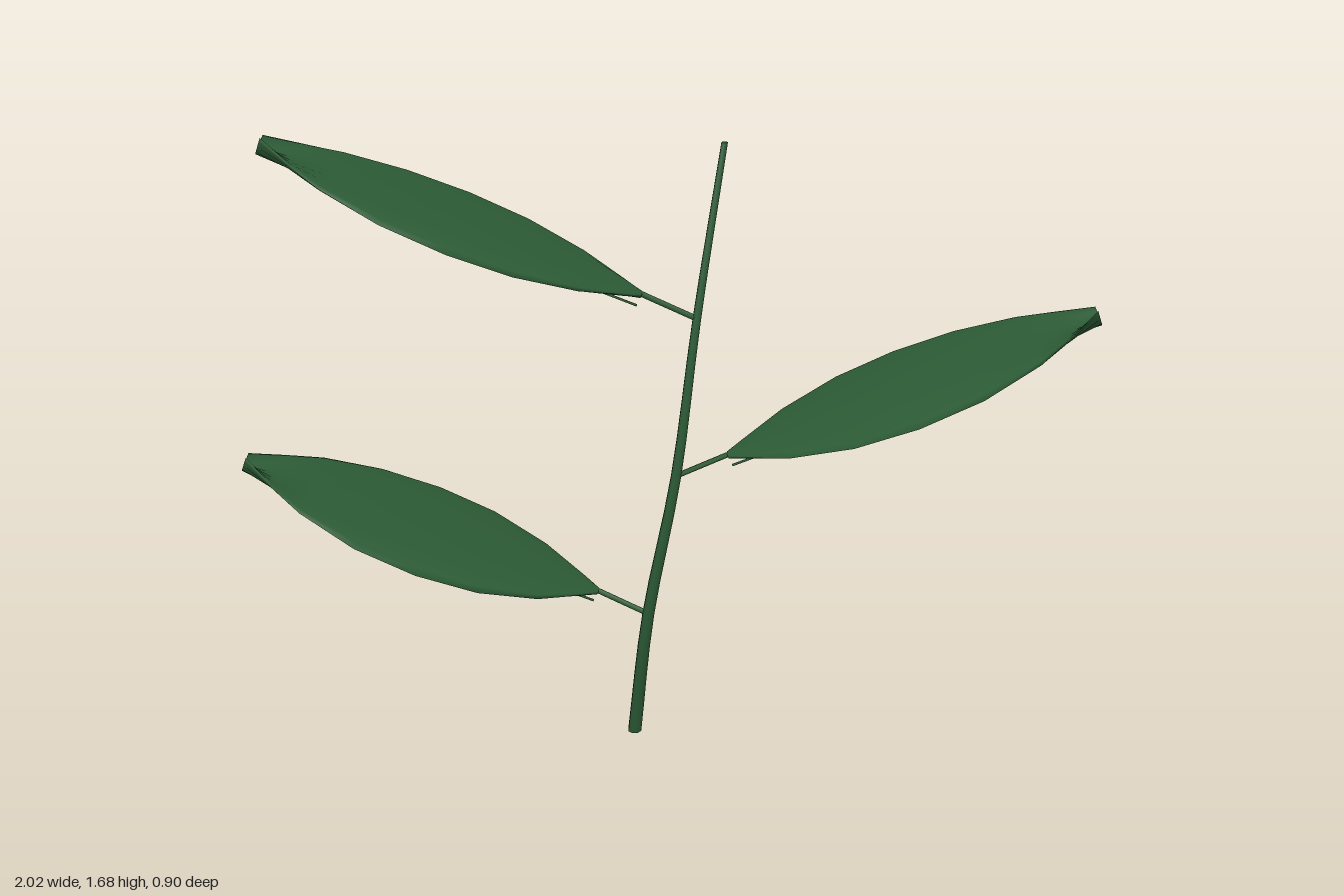
import * as THREE from 'three';

const green = new THREE.MeshStandardMaterial({ color: 0x2d5c36 });
green.name = 'leafGreen';

// Closed smooth skin through rings of points, with a fan over each end
function loft(rings) {
  const n = rings[0].length;
  const pos = [], index = [];
  rings.forEach(ring => ring.forEach(p => pos.push(p.x, p.y, p.z)));
  for (let i = 0; i < rings.length - 1; i++) {
    for (let j = 0; j < n; j++) {
      const k = (j + 1) % n;
      const a = i * n + j, b = i * n + k, c = a + n, d = b + n;
      index.push(a, c, d, a, d, b);
    }
  }
  const cap = (ring, flip) => {
    const mid = new THREE.Vector3();
    ring.forEach(p => mid.addScaledVector(p, 1 / n));
    const start = pos.length / 3;
    [mid, ...ring].forEach(p => pos.push(p.x, p.y, p.z));
    for (let j = 0; j < n; j++) {
      const a = start + 1 + j, b = start + 1 + (j + 1) % n;
      index.push(start, flip ? b : a, flip ? a : b);
    }
  };
  cap(rings[0], false);
  cap(rings[rings.length - 1], true);
  const g = new THREE.BufferGeometry();
  g.setAttribute('position', new THREE.Float32BufferAttribute(pos, 3));
  g.setIndex(index);
  g.computeVertexNormals();
  return g;
}

function part(geometry, name) {
  const mesh = new THREE.Mesh(geometry, green);
  mesh.name = name;
  return mesh;
}

function rod(a, b, radius) {
  return new THREE.TubeGeometry(new THREE.LineCurve3(a, b), 1, radius, 6);
}

// Bent stem, tapering upward
function stemGeometry() {
  const curve = new THREE.CatmullRomCurve3([
    [-0.113, 0, -0.09], [-0.04, 0.42, 0], [0.04, 0.83, 0.015],
    [0.083, 1.24, -0.01], [0.122, 1.655, -0.09]
  ].map(p => new THREE.Vector3(...p)));
  const rings = [];
  for (let i = 0; i <= 16; i++) {
    const t = i / 16, c = curve.getPoint(t), r = 0.019 - 0.011 * t;
    rings.push(Array.from({ length: 8 }, (_, j) => {
      const a = j / 8 * Math.PI * 2;
      return new THREE.Vector3(c.x + r * Math.cos(a), c.y, c.z + r * Math.sin(a));
    }));
  }
  return loft(rings);
}

// Leaf blade along +x: [distance, half width], domed on top, nearly flat below
const LENGTH = 0.958;
const outline = [
  [0, 0.015], [0.043, 0.058], [0.156, 0.16], [0.309, 0.238], [0.467, 0.263],
  [0.628, 0.243], [0.781, 0.174], [0.87, 0.1], [LENGTH, 0.016]
];
function bladeGeometry() {
  return loft(outline.map(([x, w]) => {
    const t = x / LENGTH;
    const top = 0.006 + 0.02 * Math.sin(Math.PI * t);
    return Array.from({ length: 16 }, (_, j) => {
      const a = j / 16 * Math.PI * 2, s = Math.sin(a), c = Math.cos(a);
      // the edges turn up toward the tip
      const lift = 0.035 * t ** 5 * c * c - 0.012 * t ** 5;
      return new THREE.Vector3(x, s * (s > 0 ? top : 0.01) + lift, w * c);
    });
  }));
}

export function createModel() {
  const model = new THREE.Group();
  model.name = 'leafySprig';
  model.add(part(stemGeometry(), 'stem'));

  const blade = bladeGeometry();
  const rib = rod(new THREE.Vector3(0, -0.031, 0), new THREE.Vector3(0.8, -0.031, 0), 0.003);

  // [name, point on stem, leaf base, turn about the stem]
  const leaves = [
    ['lowerLeaf', [-0.04, 0.42, 0], [-0.17, 0.478, 0.025], Math.PI],
    ['middleLeaf', [0.04, 0.83, 0.015], [0.16, 0.887, -0.03], 0],
    ['upperLeaf', [0.083, 1.24, -0.01], [-0.045, 1.3, 0.027], Math.PI]
  ];
  for (const [name, joint, base, turn] of leaves) {
    const group = new THREE.Group();
    group.name = name;
    const leaf = new THREE.Group();
    leaf.name = name + 'Blade';
    leaf.position.set(...base);
    leaf.rotation.set(0, turn + 0.332, 0.385);
    leaf.add(part(blade, 'blade'), part(rib, 'midrib'));
    const stalk = rod(new THREE.Vector3(...joint), new THREE.Vector3(...base), 0.007);
    group.add(leaf, part(stalk, 'leafStalk'));
    model.add(group);
  }
  return model;
}
